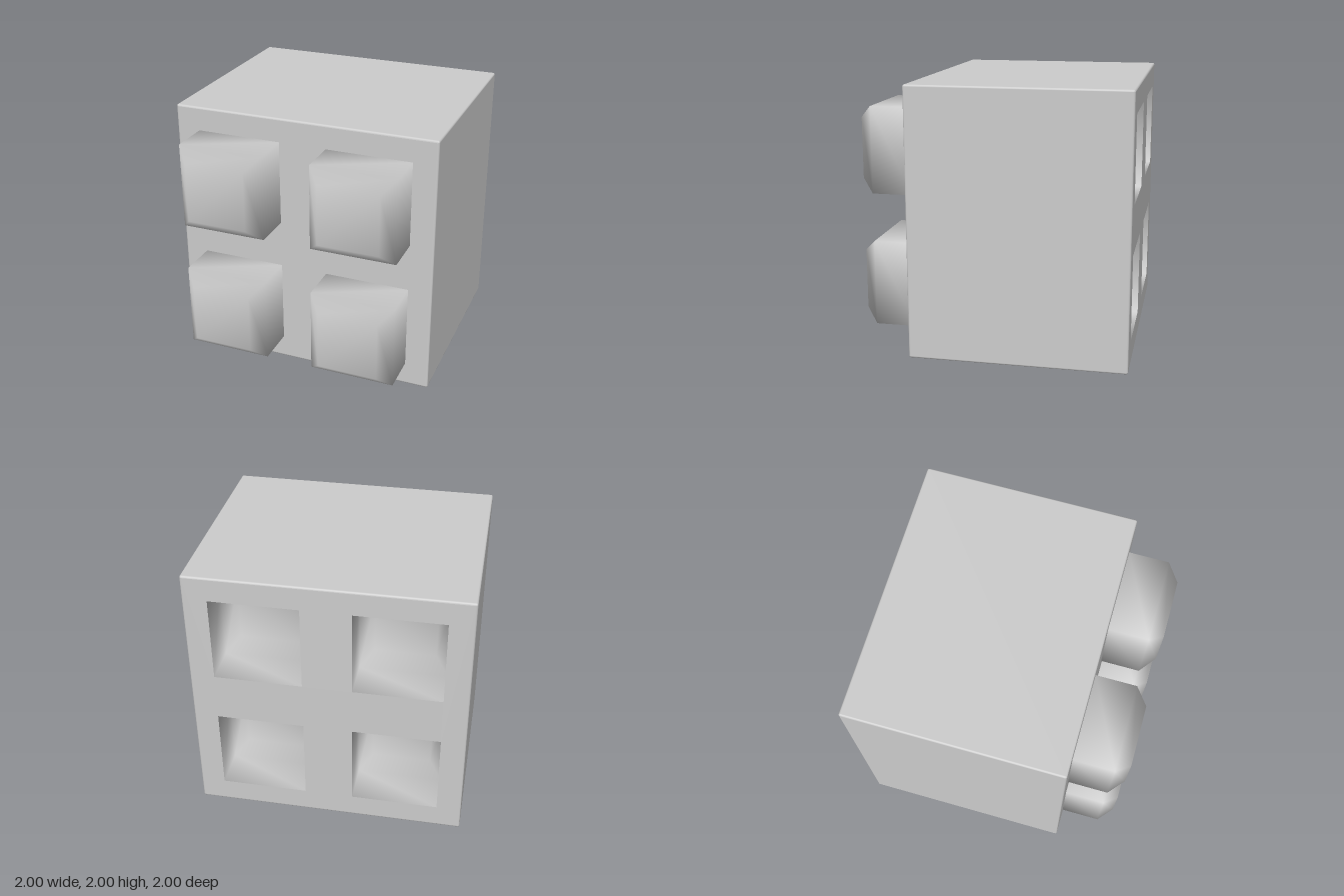
import * as THREE from 'three';

const BEVEL = 0.015; // edge rounding of the block
const BACK = -1, FRONT = 0.6;

// Joins closed rings (counter-clockwise seen from +z) into one smooth skin.
function loft(rings, { cap = false, inward = false } = {}) {
  const n = rings[0].length, index = [];
  const tri = (a, b, c) => index.push(...(inward ? [a, c, b] : [a, b, c]));
  for (let i = 0; i < rings.length - 1; i++) {
    for (let j = 0; j < n; j++) {
      const k = (j + 1) % n;
      const a = i * n + j, b = i * n + k, c = a + n, d = b + n;
      tri(a, b, d);
      tri(a, d, c);
    }
  }
  if (cap) {
    const s = (rings.length - 1) * n;
    for (let j = 1; j < n - 1; j++) tri(s, s + j, s + j + 1);
  }
  const geometry = new THREE.BufferGeometry().setFromPoints(rings.flat());
  geometry.setIndex(index);
  geometry.computeVertexNormals();
  return geometry;
}

// Square ring with optionally rounded corners.
function ring(core, radius, z, steps = 0) {
  const points = [];
  for (let q = 0; q < 4; q++) {
    const mid = (q + 0.5) * Math.PI / 2;
    const cx = Math.sign(Math.cos(mid)) * core, cy = Math.sign(Math.sin(mid)) * core;
    for (let s = 0; s <= steps; s++) {
      const a = (q + (steps ? s / steps : 0.5)) * Math.PI / 2;
      points.push(new THREE.Vector3(cx + radius * Math.cos(a), cy + radius * Math.sin(a), z));
    }
  }
  return points;
}

function squarePath(PathType, half, x = 0, y = 0) {
  return new PathType([[-1, -1], [1, -1], [1, 1], [-1, 1]]
    .map(([u, v]) => new THREE.Vector2(x + u * half, y + v * half)));
}

export function createModel() {
  const model = new THREE.Group();
  model.name = 'studdedBlock';
  const material = new THREE.MeshStandardMaterial({ color: 0xcccccc });
  const add = (name, geometry, x = 0, y = 0, z = 0) => {
    const mesh = new THREE.Mesh(geometry, material);
    mesh.name = name;
    mesh.position.set(x, y + 1, z);
    model.add(mesh);
  };

  // Four sides of the block with rounded edges
  const steps = 4, core = 1 - BEVEL, back = [], front = [];
  for (let k = 0; k <= steps; k++) {
    const t = (k / steps) * Math.PI / 2;
    const radius = BEVEL * Math.sin(t), drop = BEVEL * (1 - Math.cos(t));
    back.push(ring(core, radius, BACK + drop, steps));
    front.unshift(ring(core, radius, FRONT - drop, steps));
  }
  add('blockSides', loft([...back, ...front]));

  // Flat front, and back pierced by the socket openings
  const centres = [[-0.5, -0.5], [0.5, -0.5], [-0.5, 0.5], [0.5, 0.5]];
  const half = 0.32;
  add('blockFront', new THREE.ShapeGeometry(squarePath(THREE.Shape, core)), 0, 0, FRONT);
  const backShape = squarePath(THREE.Shape, core);
  for (const [x, y] of centres) backShape.holes.push(squarePath(THREE.Path, half, x, y));
  add('blockBack', new THREE.ShapeGeometry(backShape).rotateY(Math.PI), 0, 0, BACK);

  // Chamfered studs in front and matching sockets behind
  const profile = [ring(half, 0, 0), ring(half, 0, 0.3), ring(0.225, 0, 0.4)];
  const stud = loft(profile, { cap: true });
  const socket = loft(profile, { cap: true, inward: true });
  for (const [x, y] of centres) {
    const place = (y > 0 ? 'Upper' : 'Lower') + (x > 0 ? 'Left' : 'Right');
    add('stud' + place, stud, x, y, FRONT);
    add('socket' + place, socket, x, y, BACK);
  }
  return model;
}
